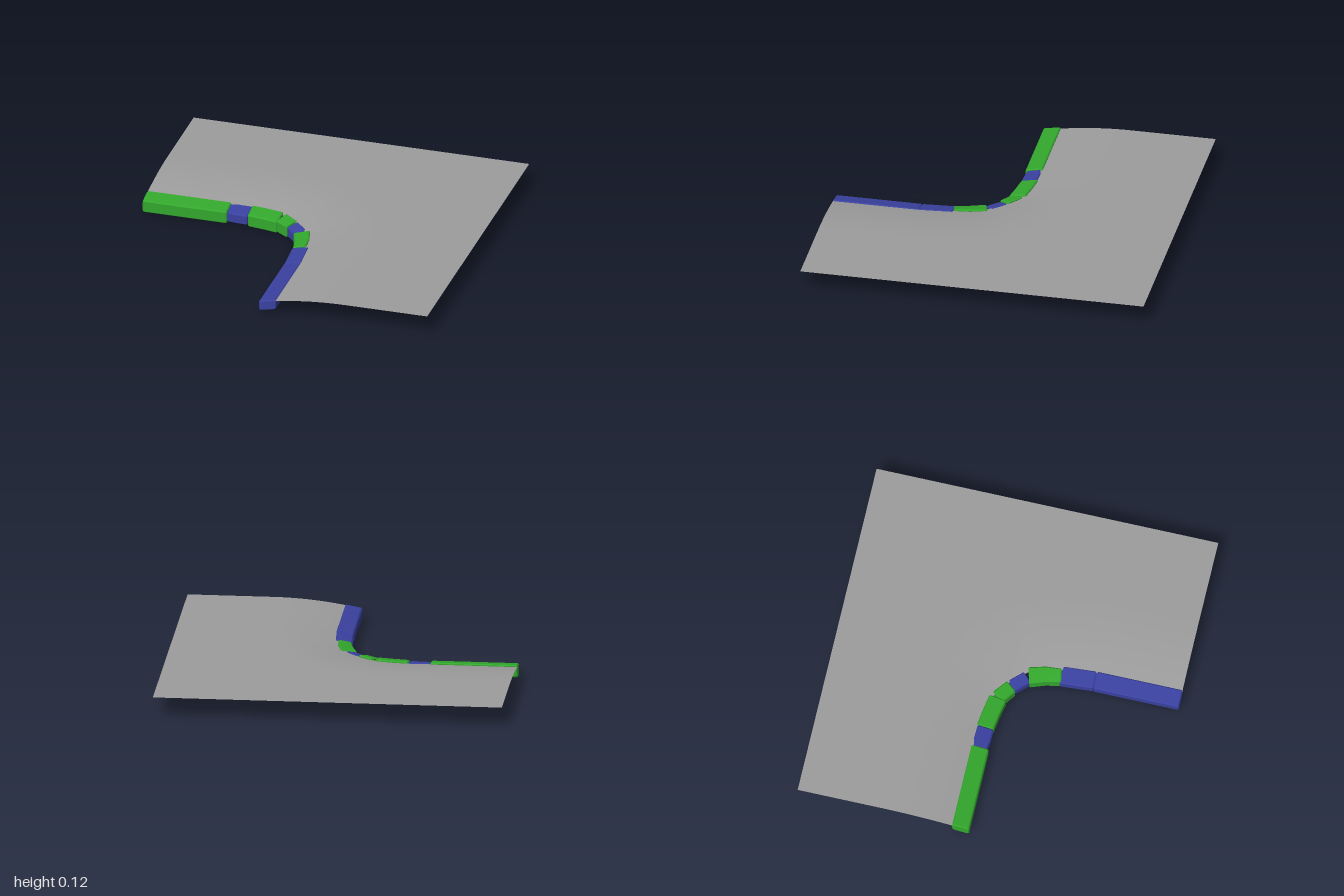
import * as THREE from 'three';

const green = new THREE.MeshStandardMaterial({ color: 0x33a82d, flatShading: true });
const blue = new THREE.MeshStandardMaterial({ color: 0x3a41a0, flatShading: true });
const grey = new THREE.MeshStandardMaterial({ color: 0xe4e4e4, flatShading: true });
const paving = new THREE.MeshStandardMaterial({ color: 0x9d9d9d, side: THREE.DoubleSide });

// Kerb stones: stations along the kerb as [outerX, outerZ, innerX, innerZ]
const STONES = [
  ['kerbLongBack', green, [[-1, -0.097, -1, 0.003], [-0.499, -0.097, -0.499, 0.003]]],
  ['kerbShortBack', blue, [[-0.501, -0.085, -0.501, -0.008], [-0.45, -0.095, -0.45, 0], [-0.372, -0.092, -0.375, 0.003]]],
  ['kerbCurveBack', green, [[-0.373, -0.096, -0.374, 0.002], [-0.28, -0.084, -0.28, 0.016], [-0.18, -0.066, -0.189, 0.034]]],
  ['kerbWedge', green, [[-0.16, -0.053, -0.197, 0.02], [-0.076, 0.013, -0.122, 0.073]]],
  ['kerbCornerBlock', blue, [[-0.07, 0.018, -0.118, 0.07], [0.002, 0.093, -0.047, 0.144]]],
  ['kerbCurveFront', green, [[0.032, 0.113, -0.058, 0.137], [0.059, 0.21, -0.026, 0.228], [0.066, 0.3, -0.008, 0.315]]],
  ['kerbShortFront', blue, [[0.085, 0.305, -0.015, 0.305], [0.097, 0.499, -0.002, 0.499]]],
  ['kerbLongFront', blue, [[0.097, 0.499, -0.003, 0.499], [0.097, 1, -0.003, 1]]],
];

// One bevelled, tilted stone lofted through its stations, with a grey panel underneath
function makeStone(name, material, stations) {
  const low = material === green ? 0.002 : 0.01;
  const height = material === green ? 0.076 : 0.062;
  const bevel = 0.007, rim = 0.009, sides = 10, panelSide = 7;
  const ring = (s, inset) => {
    const width = Math.hypot(s[0] - s[2], s[1] - s[3]);
    const a = inset / width, b = (inset + bevel) / width, c = b + rim / width;
    const y0 = inset, y1 = inset + bevel, top = height - inset;
    const section = [[a, y1], [a, top - bevel], [b, top], [1 - b, top], [1 - a, top - bevel],
      [1 - a, y1], [1 - b, y0], [1 - c, y0], [c, y0], [b, y0]];
    return section.map(([u, y]) => new THREE.Vector3(
      s[2] + (s[0] - s[2]) * u, low + y + 0.018 * u, s[3] + (s[1] - s[3]) * u));
  };
  // Station moved a short way from one station toward the next
  const toward = (p, q, d) => {
    const len = Math.hypot((p[0] + p[2] - q[0] - q[2]) / 2, (p[1] + p[3] - q[1] - q[3]) / 2);
    return p.map((v, i) => v + (q[i] - v) * d / len);
  };
  // Each end has an inset cap, a bevel and a rim
  const end = (p, q) => [ring(p, 0.005), ring(toward(p, q, 0.006), 0), ring(toward(p, q, 0.014), 0)];
  const n = stations.length;
  const rings = [
    ...end(stations[0], stations[1]),
    ...stations.slice(1, -1).map((s) => ring(s, 0)),
    ...end(stations[n - 1], stations[n - 2]).reverse(),
  ];

  const body = [], panel = [];
  const tri = (list, a, b, c) => list.push(...a.toArray(), ...b.toArray(), ...c.toArray());
  for (let i = 0; i < rings.length - 1; i++) {
    const inRim = i > 1 && i < rings.length - 3;
    for (let j = 0; j < sides; j++) {
      const k = (j + 1) % sides, p = rings[i], q = rings[i + 1];
      const list = j === panelSide && inRim ? panel : body;
      tri(list, p[j], q[j], q[k]);
      tri(list, p[j], q[k], p[k]);
    }
  }
  const first = rings[0], last = rings[rings.length - 1];
  for (let j = 1; j < sides - 1; j++) {
    tri(body, first[0], first[j], first[j + 1]);
    tri(body, last[0], last[j + 1], last[j]);
  }
  const group = new THREE.Group();
  group.name = name;
  const add = (list, mat, part) => {
    const geo = new THREE.BufferGeometry();
    geo.setAttribute('position', new THREE.Float32BufferAttribute(list, 3));
    geo.computeVertexNormals();
    const mesh = new THREE.Mesh(geo, mat);
    mesh.name = part;
    group.add(mesh);
  };
  add(body, material, 'stoneBody');
  add(panel, grey, 'stoneUnderside');
  return group;
}

// Pavement: kerb edge points paired with points on the outer border [x, z, borderX, borderZ]
const EDGE = [
  [-1, -0.085, -1, -1], [-0.5, -0.083, -0.45, -1], [-0.375, -0.082, -0.25, -1],
  [-0.28, -0.072, 0, -1], [-0.186, -0.048, 0.3, -1], [-0.12, -0.01, 0.65, -1],
  [-0.042, 0.064, 1, -1], [0.012, 0.128, 1, -0.65], [0.043, 0.21, 1, -0.3],
  [0.06, 0.31, 1, 0], [0.083, 0.495, 1, 0.4], [0.085, 1, 1, 1],
];

function distanceToEdge(x, z) {
  let best = Infinity;
  for (let i = 0; i < EDGE.length - 1; i++) {
    const [ax, az] = EDGE[i], [bx, bz] = EDGE[i + 1];
    const dx = bx - ax, dz = bz - az;
    const t = THREE.MathUtils.clamp(((x - ax) * dx + (z - az) * dz) / (dx * dx + dz * dz), 0, 1);
    best = Math.min(best, Math.hypot(x - ax - dx * t, z - az - dz * t));
  }
  return best;
}

function makePavement() {
  const perSpan = 4, cols = (EDGE.length - 1) * perSpan, rows = 24;
  const geo = new THREE.PlaneGeometry(1, 1, cols, rows);
  const pos = geo.attributes.position;
  for (let r = 0; r <= rows; r++) {
    const v = Math.pow(1 - r / rows, 1.6); // rows are denser beside the kerb
    for (let c = 0; c <= cols; c++) {
      const span = Math.min(Math.floor(c / perSpan), EDGE.length - 2);
      const t = c / perSpan - span;
      const e = EDGE[span].map((p, i) => p + (EDGE[span + 1][i] - p) * t);
      const x = e[0] + (e[2] - e[0]) * v, z = e[1] + (e[3] - e[1]) * v;
      const fall = Math.max(0, 1 - distanceToEdge(x, z) / 0.42);
      pos.setXYZ(r * (cols + 1) + c, x, 0.12 - 0.038 * fall * fall, z);
    }
  }
  geo.computeVertexNormals();
  const mesh = new THREE.Mesh(geo, paving);
  mesh.name = 'pavement';
  return mesh;
}

export function createModel() {
  const model = new THREE.Group();
  model.name = 'kerbCorner';
  model.add(makePavement());
  for (const [name, material, stations] of STONES) model.add(makeStone(name, material, stations));
  return model;
}
